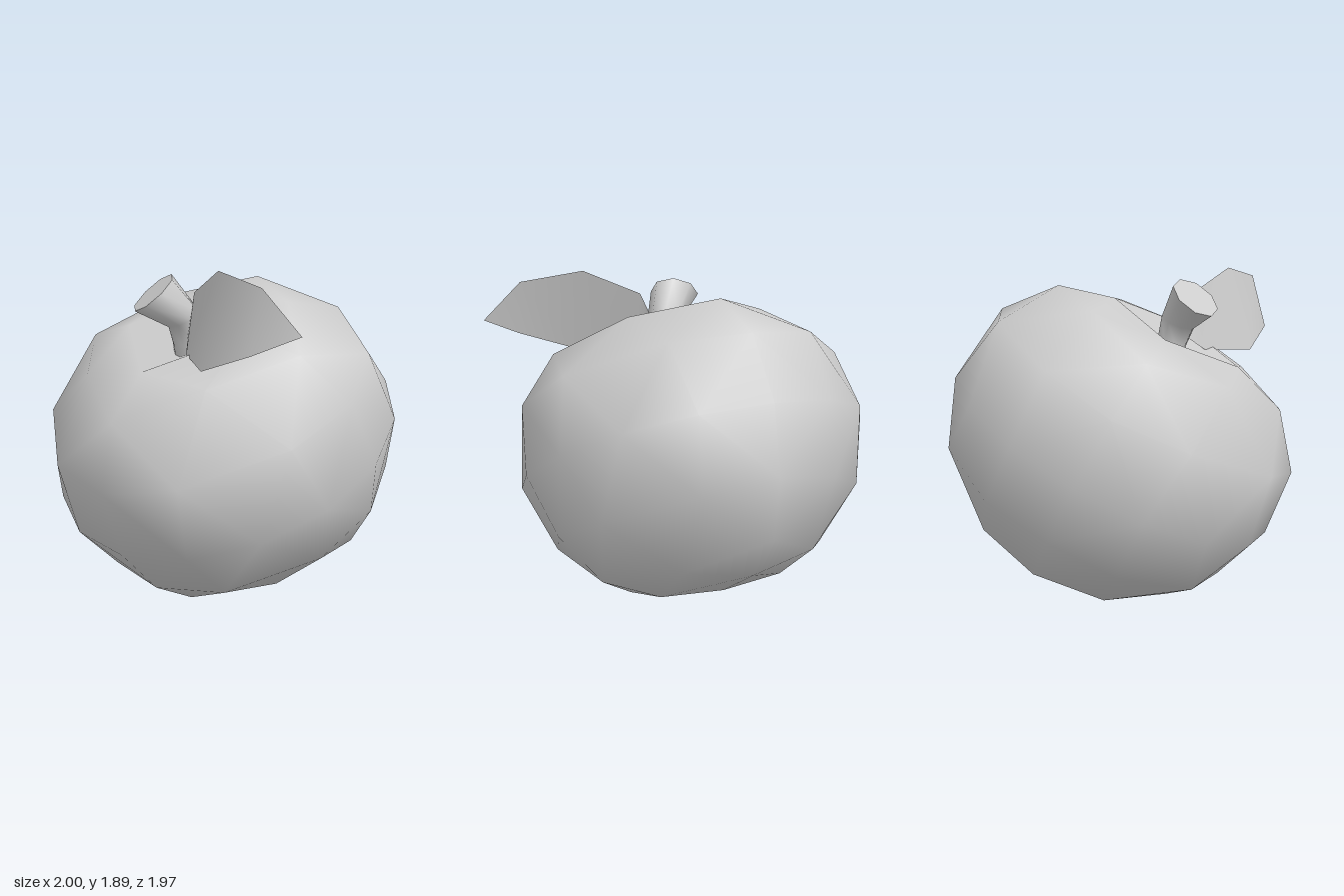
import * as THREE from 'three';
import { mergeVertices } from 'three/addons/utils/BufferGeometryUtils.js';

const V = (x, y, z) => new THREE.Vector3(x, y, z);

// Fruit outline: radius and height for every 22.5 degrees of latitude, bottom to top
const OUTLINE = [[0, -0.03], [0.38, 0], [0.69, 0.137], [0.886, 0.416], [0.998, 0.772],
  [0.95, 1.155], [0.716, 1.434], [0.397, 1.528], [0, 1.38]];

function meshFrom(points, index, material, name) {
  const g = new THREE.BufferGeometry().setFromPoints(points);
  if (index) g.setIndex(index);
  const merged = index ? g : mergeVertices(g, 1e-4);
  merged.computeVertexNormals();
  const mesh = new THREE.Mesh(merged, material);
  mesh.name = name;
  return mesh;
}

// Map a point of the unit sphere onto the fruit outline
function toFruit(p) {
  const t = (Math.asin(THREE.MathUtils.clamp(p.y, -1, 1)) / Math.PI + 0.5) * 8;
  const i = Math.min(7, Math.floor(t + 1e-6)), f = t - i;
  const [r0, h0] = OUTLINE[i], [r1, h1] = OUTLINE[i + 1];
  const r = r0 + (r1 - r0) * f, len = Math.hypot(p.x, p.z);
  const k = len > 1e-6 ? r / len : 0;
  return V(p.x * k, h0 + (h1 - h0) * f, p.z * k);
}

function buildFruit(material) {
  const points = [];
  const mid = (a, b) => a.clone().add(b).normalize();
  const split = (a, b, c, depth) => {
    if (!depth) { points.push(toFruit(a), toFruit(b), toFruit(c)); return; }
    const ab = mid(a, b), bc = mid(b, c), ca = mid(c, a);
    for (const t of [[a, ab, ca], [ab, b, bc], [ca, bc, c], [ab, bc, ca]]) split(...t, depth - 1);
  };
  // Eight octants, each split twice
  for (const x of [1, -1]) for (const y of [1, -1]) for (const z of [1, -1]) {
    const a = V(x, 0, 0), b = V(0, y, 0), c = V(0, 0, z);
    if (x * y * z > 0) split(a, b, c, 2); else split(a, c, b, 2);
  }
  const fruit = meshFrom(points, null, material, 'fruitBody');
  fruit.rotation.x = THREE.MathUtils.degToRad(28);
  fruit.position.set(0, 0.209, -0.393);
  return fruit;
}

function buildStem(material) {
  const SIDES = 8;
  // Centre, axis direction and radius of each ring
  const rings = [
    [V(0, 1.36, 0.27), V(0, 1, 0.2), 0.085],
    [V(0, 1.5, 0.3), V(0, 1, 0.25), 0.085],
    [V(0.005, 1.62, 0.335), V(-0.2, 1, 0.4), 0.1],
    [V(-0.115, 1.76, 0.445), V(-0.37, 0.74, 0.56), 0.142],
  ];
  const points = [], index = [];
  for (const [centre, axis, radius] of rings) {
    const n = axis.normalize();
    const u = V(1, 0, 0).addScaledVector(n, -n.x).normalize();
    const w = u.clone().cross(n);
    for (let j = 0; j < SIDES; j++) {
      const a = ((j + 0.5) / SIDES) * Math.PI * 2;
      points.push(centre.clone().addScaledVector(u, radius * Math.cos(a)).addScaledVector(w, radius * Math.sin(a)));
    }
  }
  for (let i = 0; i < rings.length - 1; i++) for (let j = 0; j < SIDES; j++) {
    const k = (j + 1) % SIDES, a = i * SIDES, b = a + SIDES;
    index.push(a + j, b + j, b + k, a + j, b + k, a + k);
  }
  const stem = new THREE.Group();
  stem.name = 'stem';
  // Flat cut end
  const cap = points.slice(-SIDES), capIndex = [];
  for (let j = 1; j < SIDES - 1; j++) capIndex.push(0, j + 1, j);
  stem.add(meshFrom(points, index, material, 'stemSide'), meshFrom(cap, capIndex, material, 'stemEnd'));
  return stem;
}

function buildLeaf(material) {
  // Lower and upper edge pairs from the stem to the tip
  const pairs = [
    [V(0.06, 1.53, 0.37), V(0.09, 1.65, 0.35)],
    [V(0.13, 1.45, 0.47), V(0.13, 1.77, 0.4)],
    [V(0.42, 1.42, 0.71), V(0.42, 1.9, 0.57)],
    [V(0.76, 1.53, 0.775), V(0.765, 1.84, 0.69)],
    [V(0.99, 1.63, 0.69)],
  ];
  const index = [];
  for (let i = 0; i < 3; i++) {
    const a = i * 2;
    index.push(a, a + 2, a + 3, a, a + 3, a + 1);
  }
  index.push(6, 8, 7);
  return meshFrom(pairs.flat(), index, material, 'leaf');
}

export function createModel() {
  const grey = new THREE.MeshStandardMaterial({ color: 0xcccccc });
  grey.name = 'lightGrey';
  grey.side = THREE.DoubleSide;
  const model = new THREE.Group();
  model.name = 'apple';
  model.add(buildFruit(grey), buildStem(grey), buildLeaf(grey));
  return model;
}
